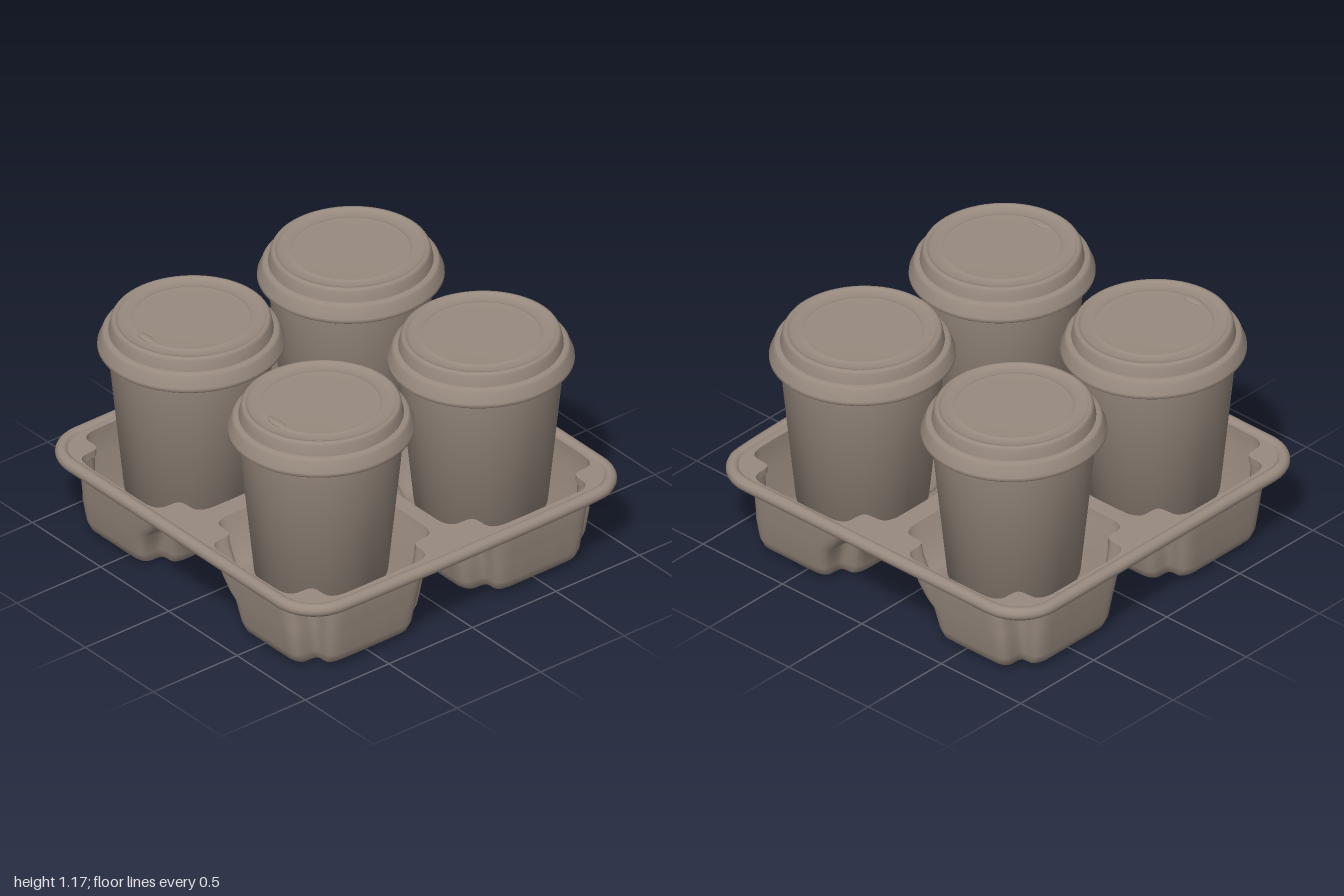
import * as THREE from 'three';

const V2 = (x, y) => new THREE.Vector2(x, y);

// Square with notched corners in unit coordinates, smoothed
function unitOutline() {
  const corner = [[1, 0], [1, 0.35], [0.985, 0.57], [0.92, 0.66], [0.7, 0.7], [0.66, 0.92], [0.57, 0.985], [0.35, 1]];
  const pts = [];
  for (let q = 0; q < 4; q++) {
    const c = [1, 0, -1, 0][q], s = [0, 1, 0, -1][q];
    for (const [x, z] of corner) pts.push(new THREE.Vector3(x * c - z * s, 0, x * s + z * c));
  }
  return new THREE.CatmullRomCurve3(pts, true, 'centripetal').getPoints(128).slice(0, 128);
}
const UNIT = unitOutline();

// Pocket sections: height, inner x, outer x, inner z, outer z
const LEVELS = [
  [0.425, 0.05, 0.92, 0.04, 0.92],
  [0.38, 0.07, 0.925, 0.05, 0.925],
  [0.30, 0.11, 0.92, 0.075, 0.915],
  [0.23, 0.165, 0.91, 0.09, 0.905],
  [0.195, 0.215, 0.905, 0.10, 0.90],
  [0.08, 0.245, 0.89, 0.125, 0.88],
  [0.035, 0.262, 0.872, 0.145, 0.862],
  [0.012, 0.29, 0.845, 0.175, 0.835],
  [0, 0.33, 0.80, 0.215, 0.795],
  [0, 0.56, 0.57, 0.50, 0.51],
];

function section([y, xi, xo, zi, zo], sx, sz) {
  return UNIT.map((p) => new THREE.Vector3(
    sx * ((xi + xo) / 2 + p.x * (xo - xi) / 2), y,
    sz * ((zi + zo) / 2 + p.z * (zo - zi) / 2)));
}

function pocketGeometry(sx, sz) {
  const n = UNIT.length, pos = [], index = [];
  for (const level of LEVELS) for (const p of section(level, sx, sz)) pos.push(p.x, p.y, p.z);
  const tri = (a, b, c) => (sx * sz > 0 ? index.push(a, b, c) : index.push(a, c, b));
  for (let l = 0; l < LEVELS.length - 1; l++) {
    for (let i = 0; i < n; i++) {
      const a = l * n + i, b = l * n + (i + 1) % n;
      tri(a, b, a + n);
      tri(b, b + n, a + n);
    }
  }
  const last = (LEVELS.length - 1) * n;
  for (let i = 1; i < n - 1; i++) tri(last, last + i, last + i + 1);
  const g = new THREE.BufferGeometry();
  g.setAttribute('position', new THREE.Float32BufferAttribute(pos, 3));
  g.setIndex(index);
  g.computeVertexNormals();
  return g;
}

function roundedRect(hx, hz, r) {
  const s = new THREE.Shape();
  s.moveTo(hx, -hz + r);
  s.absarc(hx - r, hz - r, r, 0, Math.PI / 2);
  s.absarc(-hx + r, hz - r, r, Math.PI / 2, Math.PI);
  s.absarc(-hx + r, -hz + r, r, Math.PI, Math.PI * 1.5);
  s.absarc(hx - r, -hz + r, r, Math.PI * 1.5, Math.PI * 2);
  return s;
}

export function createModel() {
  const group = new THREE.Group();
  const fibre = new THREE.MeshStandardMaterial({ color: 0x988a7f, side: THREE.DoubleSide });
  fibre.name = 'warm grey';
  const add = (parent, geometry, name) => {
    const m = new THREE.Mesh(geometry, fibre);
    m.name = name;
    parent.add(m);
    return m;
  };

  // Carrier tray: plate with four openings, rolled rim, four pockets
  const tray = new THREE.Group();
  tray.name = 'carrierTray';
  group.add(tray);
  const corners = [[1, 1], [-1, 1], [1, -1], [-1, -1]];
  const plate = roundedRect(0.97, 0.96, 0.2);
  for (const [sx, sz] of corners) {
    plate.holes.push(new THREE.Path(section(LEVELS[0], sx, sz).map((p) => V2(p.x, p.z))));
  }
  const plateGeo = new THREE.ExtrudeGeometry(plate, { depth: 0.035, bevelEnabled: false, curveSegments: 12 });
  plateGeo.rotateX(Math.PI / 2);
  plateGeo.translate(0, 0.425, 0);
  add(tray, plateGeo, 'trayPlate');

  const rimPath = new THREE.CurvePath();
  const rimPts = roundedRect(0.968, 0.956, 0.2).getSpacedPoints(120).map((p) => new THREE.Vector3(p.x, 0.408, p.y));
  rimPts.pop();
  rimPath.add(new THREE.CatmullRomCurve3(rimPts, true));
  add(tray, new THREE.TubeGeometry(rimPath.curves[0], 200, 0.032, 14, true), 'trayRim');
  for (const [sx, sz] of corners) add(tray, pocketGeometry(sx, sz), 'cupPocket');

  // Cup and lid profiles: radius, height
  const cupGeo = new THREE.LatheGeometry([V2(0, 0.27), V2(0.306, 0.27), V2(0.382, 1.04)], 64);
  const skirt = [[0.375, 1.022], [0.418, 1.02], [0.428, 1.03], [0.427, 1.045], [0.415, 1.07], [0.408, 1.095], [0.398, 1.107], [0.372, 1.11]];
  const crown = [[0.378, 1.105], [0.374, 1.125], [0.367, 1.16], [0.36, 1.172], [0.35, 1.175], [0.34, 1.172], [0.33, 1.16],
    [0.285, 1.16], [0.275, 1.165], [0.265, 1.168], [0.25, 1.163], [0, 1.163]];
  const lathe = (pts) => new THREE.LatheGeometry(pts.map(([r, y]) => V2(r, y)), 64);
  const skirtGeo = lathe(skirt), crownGeo = lathe(crown);

  for (const [sx, sz] of corners) {
    const cup = new THREE.Group();
    cup.name = 'lidded cup';
    cup.position.set(sx * 0.477, 0, sz * 0.478);
    cup.scale.z = 1.03;
    group.add(cup);
    add(cup, cupGeo, 'cupBody');
    add(cup, skirtGeo, 'lidSkirt');
    add(cup, crownGeo, 'lidTop');
    // Drinking tab, only on the front pair
    if (sz > 0) {
      const tab = add(cup, new THREE.SphereGeometry(1, 20, 10), 'drinkingTab');
      tab.scale.set(0.06, 0.009, 0.022);
      tab.position.set(0, 1.164, 0.26);
    }
  }
  return group;
}
